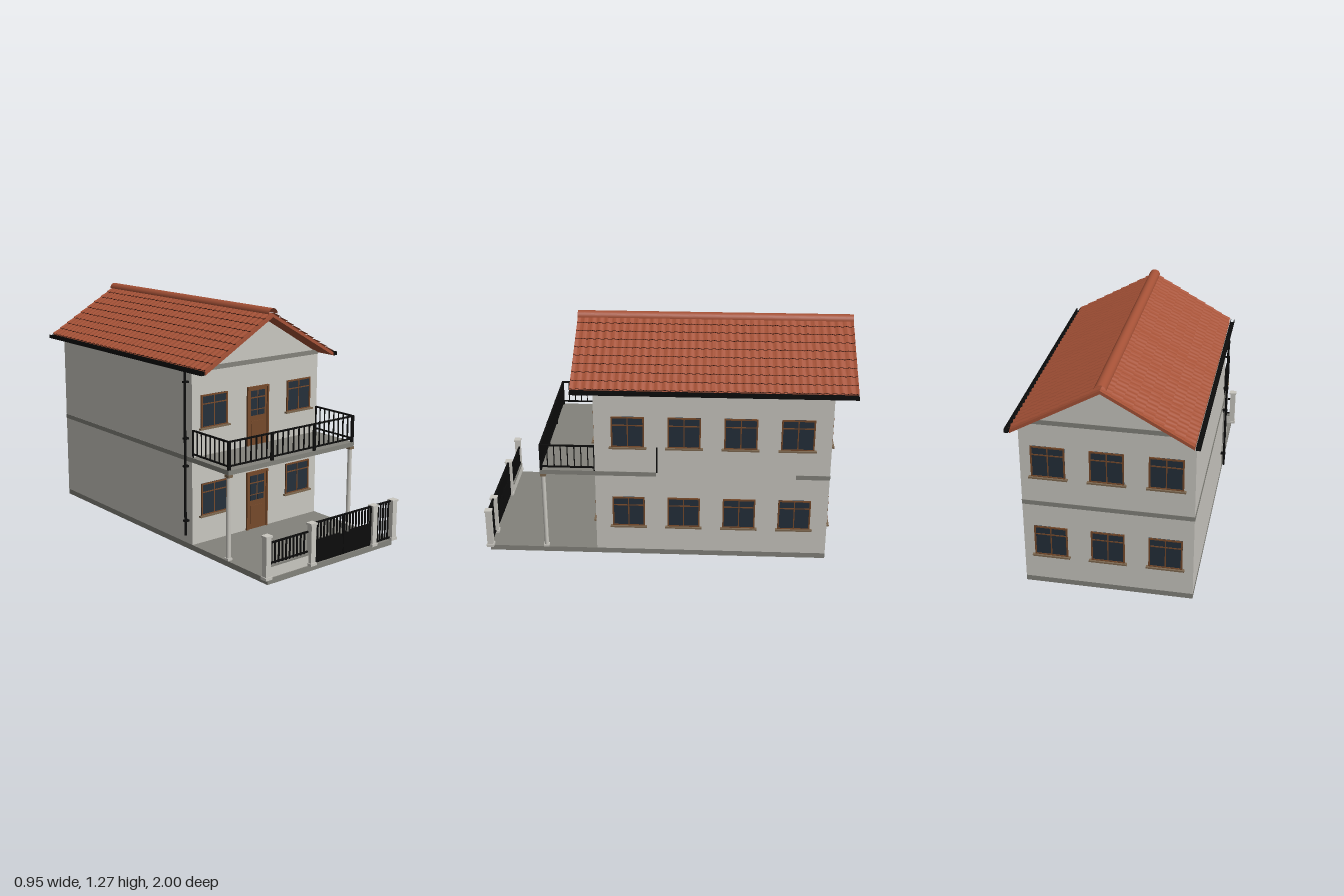
import * as THREE from 'three';
import { toCreasedNormals } from 'three/addons/utils/BufferGeometryUtils.js';

const paint = (name, color, side = THREE.FrontSide) => {
  const m = new THREE.MeshStandardMaterial({ color, side });
  m.name = name;
  return m;
};

export function createModel() {
  const wall = paint('plaster', 0xc9c7c0);
  const concrete = paint('concrete', 0x83827b);
  const tile = paint('roofTile', 0xa65237, THREE.DoubleSide);
  const gap = paint('tileGap', 0x5c2a1c);
  const wood = paint('wood', 0x75492a);
  const sillTan = paint('sill', 0x7d6850);
  const glass = paint('glass', 0x242f3a);
  const iron = paint('iron', 0x0c0c0c, THREE.DoubleSide);

  const model = new THREE.Group();
  model.name = 'house';

  const add = (parent, name, geo, mat) => {
    const m = new THREE.Mesh(geo, mat);
    m.name = name;
    parent.add(m);
    return m;
  };
  // Box given by its limits on each axis
  const box = (parent, name, mat, x0, x1, y0, y1, z0, z1) => {
    const m = add(parent, name, new THREE.BoxGeometry(x1 - x0, y1 - y0, z1 - z0), mat);
    m.position.set((x0 + x1) / 2, (y0 + y1) / 2, (z0 + z1) / 2);
    return m;
  };
  const group = (name, x = 0, y = 0, z = 0, ry = 0, parent = model) => {
    const g = new THREE.Group();
    g.name = name;
    g.position.set(x, y, z);
    g.rotation.y = ry;
    parent.add(g);
    return g;
  };
  // Profile in x and y, extruded from z0 to z1
  const extrude = (name, mat, pts, z0, z1) => {
    const shape = new THREE.Shape(pts.map(p => new THREE.Vector2(...p)));
    const geo = new THREE.ExtrudeGeometry(shape, { depth: z1 - z0, bevelEnabled: false });
    return add(model, name, geo.translate(0, 0, z0), mat);
  };

  // Ground slab, walls with gables, and floor bands
  const W = 0.445, FRONT = 0.38, BACK = -0.88;
  box(model, 'groundSlab', concrete, -W, W, 0, 0.03, BACK, 0.98);
  extrude('walls', wall, [[-W, 0.03], [W, 0.03], [W, 0.965], [0, 1.222], [-W, 0.965]], BACK, FRONT);
  const t = 0.002;
  box(model, 'frontEaveBand', concrete, -W, W, 0.96, 0.985, FRONT - t, FRONT + t);
  box(model, 'backEaveBand', concrete, -W, W, 0.96, 0.985, BACK - t, BACK + t);
  box(model, 'backFloorBand', concrete, -W, W, 0.485, 0.51, BACK - t, BACK + t);
  box(model, 'leftOuterFloorBand', concrete, -W - t, -W + t, 0.485, 0.51, BACK, FRONT);
  box(model, 'sideFloorBandFront', concrete, W - t, W + t, 0.485, 0.51, 0.05, FRONT);
  box(model, 'sideFloorBandBack', concrete, W - t, W + t, 0.485, 0.51, BACK, -0.70);
  box(model, 'sideWallPost', iron, W - 0.003, W + 0.004, 0.51, 0.66, 0.042, 0.05);

  // Roof deck
  extrude('roofDeck', tile,
    [[-0.449, 0.967], [0, 1.22], [0.449, 0.967], [0.449, 0.985], [0, 1.238], [-0.449, 0.985]], -1, 0.5);

  // Wavy tile courses, stepped down the slope
  const ROWS = 9, WAVES = 36, SEGS = WAVES * 6;
  const point = (u, h, k) => {
    const r = h + 0.003 * (1 + Math.cos((k / 6) * Math.PI * 2));
    return [0.447 * u + 0.491 * r, 1.238 - 0.253 * u + 0.871 * r, -0.75 + (1.5 * k) / SEGS];
  };
  const strips = rows => {
    const pos = [];
    for (const [u0, h0, u1, h1] of rows) {
      for (let k = 0; k < SEGS; k++) {
        const a = point(u0, h0, k), b = point(u0, h0, k + 1);
        const c = point(u1, h1, k), d = point(u1, h1, k + 1);
        pos.push(...a, ...b, ...c, ...b, ...d, ...c);
      }
    }
    const geo = new THREE.BufferGeometry();
    geo.setAttribute('position', new THREE.Float32BufferAttribute(pos, 3));
    return toCreasedNormals(geo, 0.8);
  };
  const courses = [], risers = [];
  for (let i = 0; i < ROWS; i++) {
    const end = (i + 1) / ROWS;
    courses.push([i / ROWS, 0, end, 0.005]);
    risers.push([end, 0.005, end, -0.001]);
  }
  const courseGeo = strips(courses), riserGeo = strips(risers);
  for (const [name, turn] of [['leftSlope', 0], ['rightSlope', Math.PI]]) {
    const slope = group(name, 0, 0, -0.25, turn);
    add(slope, 'tileCourses', courseGeo, tile);
    add(slope, 'tileEdges', riserGeo, gap);
  }
  const ridge = add(model, 'ridgeCap',
    new THREE.CylinderGeometry(0.03, 0.03, 1.5, 18, 1, true, Math.PI / 2, Math.PI), tile);
  ridge.rotation.x = Math.PI / 2;
  ridge.position.set(0, 1.237, -0.25);

  // Gutters and downpipe
  for (const s of [-1, 1]) {
    const gutter = group('gutter', s * 0.466, 0.966, -0.25);
    box(gutter, 'gutterFloor', iron, -0.011, 0.011, 0, 0.004, -0.75, 0.75);
    for (const e of [-1, 1]) {
      box(gutter, 'gutterSide', iron, e * 0.0095 - 0.0015, e * 0.0095 + 0.0015, 0, 0.02, -0.75, 0.75);
    }
  }
  const pipe = add(model, 'downpipe', new THREE.CylinderGeometry(0.007, 0.007, 0.89, 10), iron);
  pipe.position.set(-0.464, 0.525, 0.345);
  for (const y of [0.16, 0.46, 0.61, 0.91]) {
    box(model, 'pipeBracket', iron, -0.473, -W, y - 0.005, y + 0.005, 0.335, 0.355);
  }

  // Window facing +z, origin at its bottom centre
  const windowAt = (x, y, z, ry) => {
    const g = group('window', x, y, z, ry);
    const w = 0.088, h = 0.178;
    box(g, 'glass', glass, -w, w, 0, h, -0.002, 0.003);
    for (const e of [-1, 1]) box(g, 'frameSide', wood, e * 0.084 - 0.004, e * 0.084 + 0.004, 0, h, 0, 0.008);
    box(g, 'frameTop', wood, -w, w, h - 0.008, h, 0, 0.008);
    box(g, 'frameBottom', wood, -w, w, 0, 0.008, 0, 0.008);
    box(g, 'mullion', wood, -0.003, 0.003, 0, h, 0, 0.006);
    box(g, 'transom', wood, -w, w, 0.126, 0.132, 0, 0.006);
    box(g, 'sill', sillTan, -0.1, 0.1, -0.006, 0.003, 0, 0.018);
  };
  for (const y of [0.18, 0.658]) {
    for (const x of [-0.3, 0.3]) windowAt(x, y, FRONT, 0);
    for (const x of [-0.3, 0, 0.3]) windowAt(x, y, BACK, Math.PI);
    for (const z of [0.2, -0.1, -0.4, -0.7]) windowAt(W, y, z, Math.PI / 2);
  }

  // Front doors, glazed above and panelled below
  for (const [y, h] of [[0.03, 0.33], [0.51, 0.326]]) {
    const d = group('door', 0, y, FRONT);
    box(d, 'doorLeaf', wood, -0.065, 0.065, 0, h, -0.002, 0.004);
    for (const e of [-1, 1]) box(d, 'doorJamb', wood, e * 0.07 - 0.005, e * 0.07 + 0.005, 0, h, 0, 0.012);
    box(d, 'doorHead', wood, -0.075, 0.075, h - 0.01, h, 0, 0.012);
    box(d, 'lowerPanel', wood, -0.045, 0.045, 0.03, 0.135, 0, 0.008);
    for (const cx of [-0.026, 0.026]) {
      for (const cy of [0.165, 0.2, 0.268]) {
        const top = cy === 0.165 ? 0.194 : cy + 0.06 > h - 0.02 ? h - 0.024 : cy + 0.06;
        box(d, 'doorGlass', glass, cx - 0.023, cx + 0.023, cy, top, 0.003, 0.006);
      }
    }
  }

  // Railing along local x, from 0 to its length
  const railing = (g, length, y0, y1, count, bar, low) => {
    box(g, 'topRail', iron, 0, length, y1 - 0.008, y1, -0.005, 0.005);
    box(g, 'bottomRail', iron, 0, length, low - 0.004, low + 0.004, -0.004, 0.004);
    for (let i = 1; i < count; i++) {
      const x = (length * i) / count;
      box(g, 'baluster', iron, x - bar, x + bar, y0, y1, -bar, bar);
    }
  };

  // Balcony slab, railings and columns
  box(model, 'balconySlab', concrete, -W, W, 0.485, 0.51, FRONT, 0.68);
  for (const x0 of [-0.435, -0.15, 0.15]) {
    railing(group('balconyRail', x0, 0, 0.672), x0 === -0.15 ? 0.3 : 0.285, 0.53, 0.66, 8, 0.003, 0.53);
  }
  for (const x of [-0.437, -0.15, 0.15, 0.437]) {
    box(model, 'balconyPost', iron, x - 0.008, x + 0.008, 0.51, 0.66, 0.667, 0.678);
  }
  for (const s of [-1, 1]) {
    railing(group('balconySideRail', s * 0.44, 0, 0.672, Math.PI / 2), 0.292, 0.53, 0.66, 8, 0.0025, 0.53);
    box(model, 'wallPost', iron, s * 0.44 - 0.004, s * 0.44 + 0.004, 0.51, 0.66, FRONT, 0.386);
    const c = group('column', s * 0.432, 0, 0.664);
    add(c, 'shaft', new THREE.CylinderGeometry(0.012, 0.012, 0.44, 16), wall).position.y = 0.25;
    box(c, 'columnBase', wall, -0.015, 0.015, 0.03, 0.042, -0.015, 0.015);
    box(c, 'capital', sillTan, -0.015, 0.015, 0.47, 0.485, -0.015, 0.015);
  }

  // Fence pillars
  for (const x of [-0.45, -0.15, 0.297, 0.447]) {
    const p = group('fencePillar', x, 0, 0.977);
    box(p, 'pillarShaft', wall, -0.016, 0.016, 0.03, 0.25, -0.016, 0.016);
    box(p, 'pillarBase', wall, -0.021, 0.021, 0.03, 0.045, -0.02, 0.02);
    box(p, 'pillarCap', wall, -0.021, 0.021, 0.246, 0.256, -0.02, 0.02);
  }

  // Low wall with railing
  box(model, 'lowWall', wall, -0.434, -0.166, 0.03, 0.086, 0.958, 0.974);
  box(model, 'lowWallCoping', concrete, -0.434, -0.166, 0.086, 0.095, 0.955, 0.977);
  railing(group('fenceRail', -0.434, 0, 0.966), 0.268, 0.095, 0.212, 11, 0.0035, 0.103);

  // Double gate with solid lower panels, and the fixed barred panel beside it
  for (const [x, length] of [[-0.132, 0.205], [0.076, 0.203]]) {
    const leaf = group('gateLeaf', x, 0, 0.977);
    railing(leaf, length, 0.15, 0.254, 9, 0.0035, 0.154);
    box(leaf, 'gatePanel', iron, 0, length, 0.036, 0.156, -0.004, 0.004);
    for (const e of [0.003, length - 0.003]) box(leaf, 'gateStile', iron, e - 0.003, e + 0.003, 0.036, 0.254, -0.005, 0.005);
  }
  for (const x of [0.05, 0.098]) {
    box(model, 'gateHandle', concrete, x - 0.003, x + 0.003, 0.155, 0.185, 0.982, 0.988);
  }
  railing(group('fixedPanel', 0.313, 0, 0.977), 0.118, 0.04, 0.254, 6, 0.0035, 0.044);

  return model;
}
